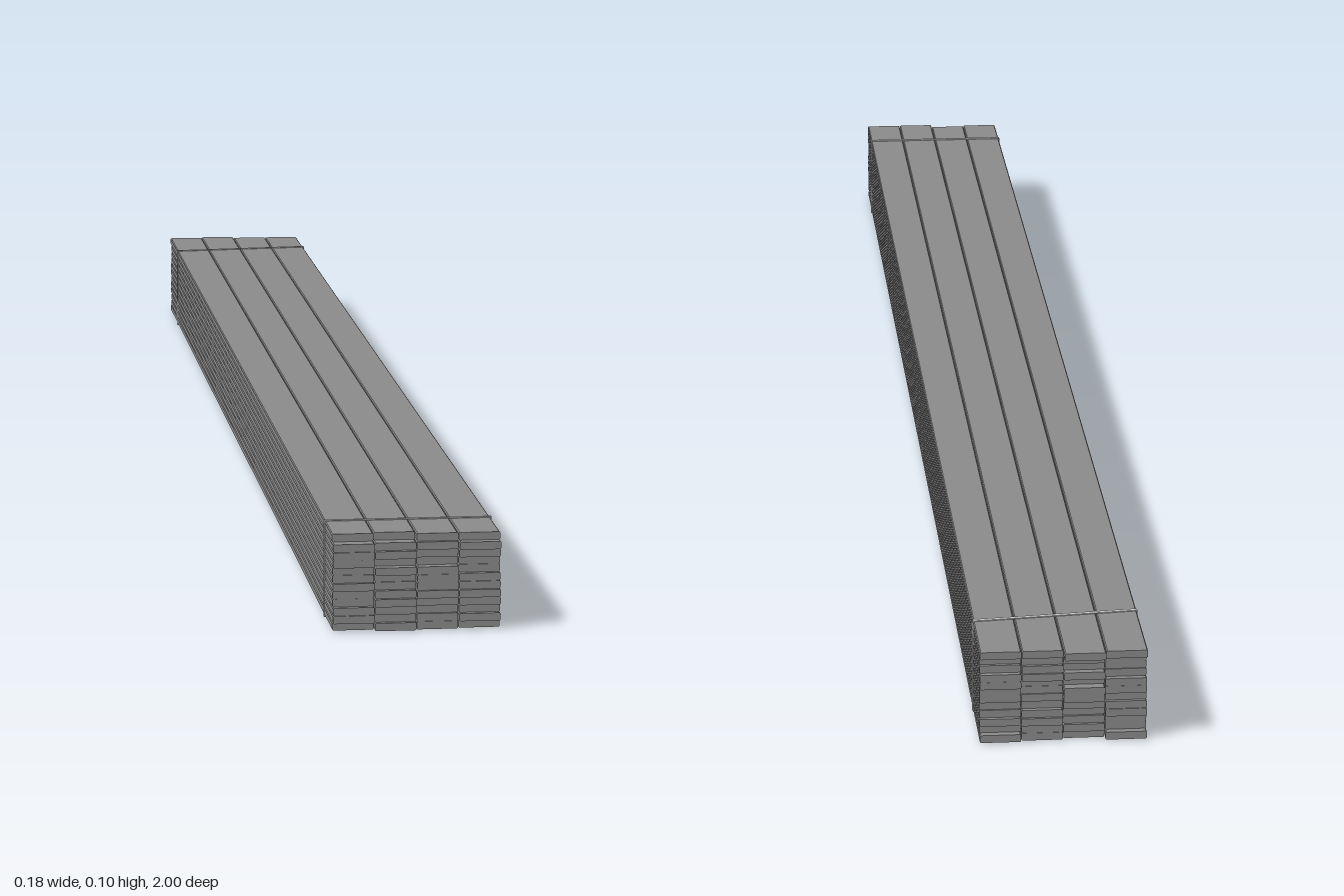
import * as THREE from 'three';

const COLS = 4, ROWS = 12;
const PITCH_X = 0.0442, PITCH_Y = 0.0085, BASE = 0.001;
const PLANK = { w: 0.0436, h: 0.0083, l: 1.98, chamfer: 0.0011 };

// small seeded generator, returns -1..1
function seeded(seed) {
  let s = seed;
  return () => {
    s = (s * 16807) % 2147483647;
    return (s / 2147483647) * 2 - 1;
  };
}

// long plank with chamfered edges, centred on its own origin
function plankGeometry() {
  const x = PLANK.w / 2, y = PLANK.h / 2, c = PLANK.chamfer;
  const section = new THREE.Shape([
    [-x + c, -y], [x - c, -y], [x, -y + c], [x, y - c],
    [x - c, y], [-x + c, y], [-x, y - c], [-x, -y + c],
  ].map(([px, py]) => new THREE.Vector2(px, py)));
  const geo = new THREE.ExtrudeGeometry(section, { depth: PLANK.l, bevelEnabled: false });
  return geo.translate(0, 0, -PLANK.l / 2);
}

export function createModel() {
  const group = new THREE.Group();
  const plankMaterial = new THREE.MeshStandardMaterial({ color: 0x8a8a8a, flatShading: true });
  const strapMaterial = new THREE.MeshStandardMaterial({ color: 0xcccccc, flatShading: true });
  const rand = seeded(4217);

  // stacked planks with slightly uneven ends
  const planks = new THREE.Group();
  planks.name = 'plankStack';
  const plankGeo = plankGeometry();
  const topShift = [-0.006, -0.01, 0, 0];
  for (let row = 0; row < ROWS; row++) {
    for (let col = 0; col < COLS; col++) {
      const plank = new THREE.Mesh(plankGeo, plankMaterial);
      plank.name = 'plank';
      const z = row === ROWS - 1 ? topShift[col] : 0.004 + rand() * 0.006;
      plank.position.set(
        (col - (COLS - 1) / 2) * PITCH_X,
        BASE + (row + 0.5) * PITCH_Y,
        z
      );
      planks.add(plank);
    }
  }
  group.add(planks);

  // thin bands tied around the stack near both ends
  const halfW = 0.0886, height = 0.104, t = 0.001, band = 0.005;
  const side = new THREE.BoxGeometry(t, height, band);
  const flat = new THREE.BoxGeometry(halfW * 2, t, band);
  const addStrap = (z, yaw, name) => {
    const strap = new THREE.Group();
    strap.name = name;
    for (const s of [-1, 1]) {
      const wall = new THREE.Mesh(side, strapMaterial);
      wall.name = 'strapSide';
      wall.position.set(s * halfW, height / 2, 0);
      const cap = new THREE.Mesh(flat, strapMaterial);
      cap.name = 'strapFlat';
      cap.position.set(0, s > 0 ? height - t / 2 : t / 2, 0);
      strap.add(wall, cap);
    }
    strap.position.z = z;
    strap.rotation.y = yaw;
    group.add(strap);
  };
  addStrap(0.917, 0, 'frontStrap');
  addStrap(-0.89, 0.1, 'backStrap');

  return group;
}
